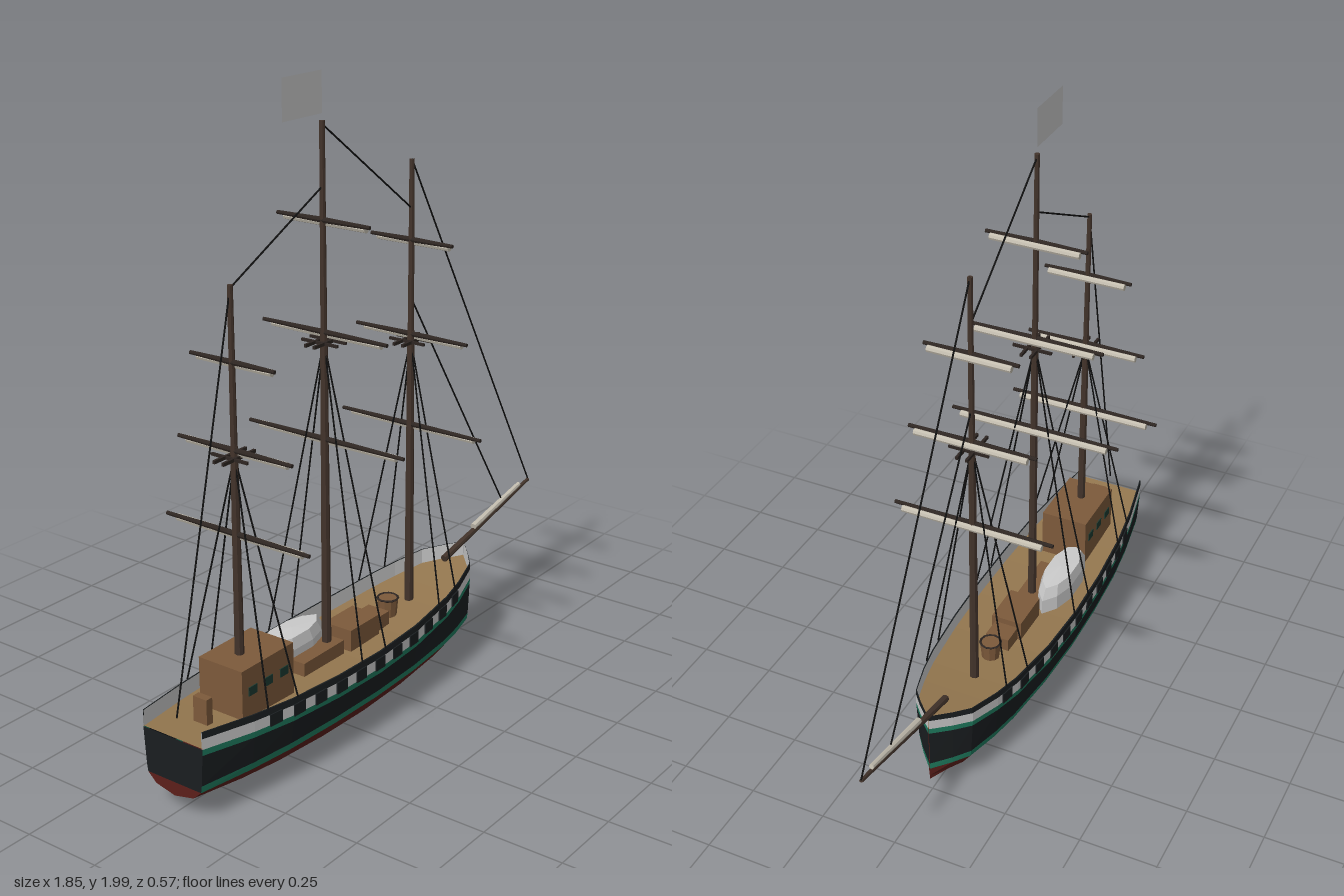
import * as THREE from 'three';

const mat = (color) => new THREE.MeshStandardMaterial({ color, flatShading: true, side: THREE.DoubleSide });
const M = {
  dark: mat(0x1a1e20), green: mat(0x1f7d60), red: mat(0x5c1f1a), white: mat(0xcccccc), deck: mat(0x94774f),
  wood: mat(0x7d5a3b), spar: mat(0x43342b), yard: mat(0x2e2622), rope: mat(0x101010), sail: mat(0xc4beb0),
  glass: mat(0x1d3a30),
};
const V = (x, y, z) => new THREE.Vector3(x, y, z);

// Hull lines: half width along the length, sheer of the rail, keel curve
const STATIONS = [[-0.93, 0.11], [-0.75, 0.145], [-0.6, 0.165], [-0.4, 0.178], [-0.2, 0.182], [0, 0.174],
  [0.2, 0.152], [0.3, 0.131], [0.41, 0.098], [0.46, 0.056], [0.515, 0.001]];
const sheer = (x) => {
  const t = x + 0.2;
  return 0.267 + (t < 0 ? 0.033 * (t / 0.73) ** 2 : 0.06 * (t / 0.715) ** 2);
};
const keel = (x) => 0.01 + 0.055 * Math.pow(Math.abs((x + 0.207) / 0.723), 2);
function halfWidth(x) {
  for (let i = 0; i < STATIONS.length - 1; i++) {
    const [x0, w0] = STATIONS[i], [x1, w1] = STATIONS[i + 1];
    if (x <= x1) return w0 + (w1 - w0) * (x - x0) / (x1 - x0);
  }
  return 0;
}

// Levels from keel to rail: [height at x, width factor]
const LEVELS = [
  [keel, 0],
  [(x) => keel(x) + (0.108 - keel(x)) * 0.36, 0.63],
  [() => 0.108, 0.9],
  [() => 0.13, 0.93],
  [(x) => sheer(x) - 0.072, 0.99],
  [(x) => sheer(x) - 0.053, 1],
  [(x) => sheer(x) - 0.02, 1],
  [sheer, 0.99],
];

function quads(list) {
  const p = [];
  for (const [a, b, c, d] of list) for (const v of [a, b, c, a, c, d]) p.push(v.x, v.y, v.z);
  const g = new THREE.BufferGeometry();
  g.setAttribute('position', new THREE.Float32BufferAttribute(p, 3));
  g.computeVertexNormals();
  return g;
}

// Both sides of a hull strip between two levels
function strip(lo, hi) {
  const out = [];
  for (let i = 0; i < STATIONS.length - 1; i++) {
    const at = (k, l, s) => V(STATIONS[k][0], l[0](STATIONS[k][0]), s * STATIONS[k][1] * l[1]);
    for (const s of [1, -1]) {
      const q = [at(i, lo, s), at(i + 1, lo, s), at(i + 1, hi, s), at(i, hi, s)];
      out.push(s > 0 ? q : q.reverse());
    }
  }
  return quads(out);
}

export function createModel() {
  const root = new THREE.Group();
  const add = (name, geo, material, parent = root) => {
    const m = new THREE.Mesh(geo, material);
    m.name = name;
    parent.add(m);
    return m;
  };
  const group = (name) => {
    const g = new THREE.Group();
    g.name = name;
    root.add(g);
    return g;
  };
  const box = (name, x0, x1, y0, y1, z0, z1, material, parent) => {
    const m = add(name, new THREE.BoxGeometry(x1 - x0, y1 - y0, z1 - z0), material, parent);
    m.position.set((x0 + x1) / 2, (y0 + y1) / 2, (z0 + z1) / 2);
    return m;
  };
  // Round bar from a to b
  const rod = (name, a, b, r0, r1, material, parent, sides = 8) => {
    const d = b.clone().sub(a);
    const m = add(name, new THREE.CylinderGeometry(r1, r0, d.length(), sides), material, parent);
    m.position.copy(a).add(b).multiplyScalar(0.5);
    m.quaternion.setFromUnitVectors(V(0, 1, 0), d.normalize());
    return m;
  };

  // Hull bands
  const hull = group('hull');
  const BANDS = [['bottom', 'red'], ['bilge', 'red'], ['waterlineStripe', 'green'], ['topside', 'dark'],
    ['upperStripe', 'green'], ['gunBand', 'white'], ['rail', 'dark']];
  BANDS.forEach(([name, c], j) => add(name, strip(LEVELS[j], LEVELS[j + 1]), M[c], hull));
  add('bulwarkLining', strip([(x) => sheer(x) - 0.053, 0.965], [(x) => sheer(x) - 0.001, 0.965]), M.white, hull);
  add('railCap', strip([sheer, 0.99], [sheer, 0.96]), M.dark, hull);

  // Flat stern, closed up to the deck
  for (let j = 0; j < 5; j++) {
    const [x, w] = STATIONS[0];
    const at = (l, s) => V(x, l[0](x), s * w * l[1]);
    const a = LEVELS[j], b = LEVELS[j + 1];
    add('transom', quads([[at(a, -1), at(a, 1), at(b, 1), at(b, -1)]]), j < 2 ? M.red : M.dark, hull);
  }

  // Deck
  const deckY = (x) => sheer(x) - 0.05;
  const planks = [];
  for (let i = 0; i < STATIONS.length - 1; i++) {
    const [x0, w0] = STATIONS[i], [x1, w1] = STATIONS[i + 1];
    planks.push([V(x0, deckY(x0), w0), V(x1, deckY(x1), w1), V(x1, deckY(x1), -w1), V(x0, deckY(x0), -w0)]);
  }
  add('deck', quads(planks), M.deck, hull);

  // Gun ports following the side
  const ports = group('gunPorts');
  for (let i = 0; i < 11; i++) for (const s of [1, -1]) {
    const x = -0.67 + i * 0.0925, a = x - 0.023, b = x + 0.023;
    const m = add('gunPort', new THREE.BoxGeometry(0.047, 0.037, 0.008), M.dark, ports);
    m.position.set(x, sheer(x) - 0.036, s * halfWidth(x));
    m.rotation.y = -s * Math.atan2(halfWidth(b) - halfWidth(a), b - a);
  }

  // Deck houses, hatches and fittings
  const fittings = group('deckFittings');
  box('aftHouse', -0.725, -0.495, 0.22, 0.387, -0.08, 0.08, M.wood, fittings);
  for (const x of [-0.68, -0.61, -0.54]) for (const s of [1, -1])
    box('houseWindow', x - 0.018, x + 0.018, 0.3, 0.327, s * 0.081 - 0.002, s * 0.081 + 0.002, M.glass, fittings);
  box('helmStand', -0.815, -0.79, 0.23, 0.32, -0.025, 0.025, M.wood, fittings);
  box('mainHatch', -0.395, -0.2, 0.21, 0.262, -0.04, 0.04, M.wood, fittings);
  box('cabinHouse', -0.18, -0.035, 0.21, 0.288, -0.052, 0.052, M.wood, fittings);
  box('foreHatch', -0.035, 0.035, 0.21, 0.268, -0.04, 0.04, M.wood, fittings);
  rod('capstan', V(0.083, 0.22, 0), V(0.083, 0.286, 0), 0.028, 0.034, M.wood, fittings, 10);
  const ring = add('capstanRim', new THREE.TorusGeometry(0.033, 0.004, 4, 12), M.yard, fittings);
  ring.position.set(0.083, 0.286, 0);
  ring.rotation.x = Math.PI / 2;

  // Ship's boat, stowed upside down
  const outline = [[-0.155, 0], [-0.14, 0.03], [-0.06, 0.055], [0.04, 0.055], [0.11, 0.035], [0.155, 0],
    [0.11, -0.035], [0.04, -0.055], [-0.06, -0.055], [-0.14, -0.03]];
  const rings = [[0.235, 1], [0.285, 0.97], [0.32, 0.8], [0.325, 0.001]];
  const boat = [];
  for (let j = 0; j < rings.length - 1; j++) outline.forEach((p, i) => {
    const q = outline[(i + 1) % outline.length];
    const at = ([x, z], [y, k]) => V(-0.325 + x * k, y, -0.065 + z * k);
    boat.push([at(p, rings[j]), at(q, rings[j]), at(q, rings[j + 1]), at(p, rings[j + 1])]);
  });
  add('shipsBoat', quads(boat), M.white, fittings);

  // Masts: x, top, crosstree height, yards as [height, half length]
  const MASTS = [
    ['mizzen', -0.64, 1.48, 0.99, [[0.755, 0.26], [1.005, 0.205], [1.26, 0.15]]],
    ['main', -0.235, 1.86, 1.22, [[0.917, 0.285], [1.245, 0.225], [1.575, 0.165]]],
    ['fore', 0.2, 1.68, 1.115, [[0.837, 0.263], [1.132, 0.207], [1.43, 0.15]]],
  ];
  for (const [name, x, top, tree, yards] of MASTS) {
    const g = group(name + 'Mast');
    rod('lowerMast', V(x, 0.2, 0), V(x, tree + 0.03, 0), 0.015, 0.011, M.spar, g);
    rod('topMast', V(x, tree, 0), V(x, top, 0), 0.01, 0.008, M.spar, g);
    // Crosstrees
    for (const s of [1, -1]) {
      box('crosstree', x - 0.068, x + 0.068, tree - 0.005, tree + 0.005, s * 0.016 - 0.004, s * 0.016 + 0.004, M.yard, g);
      box('spreader', x + s * 0.02 - 0.004, x + s * 0.02 + 0.004, tree - 0.004, tree + 0.004, -0.065, 0.065, M.yard, g);
    }
    // Yards with furled sails slung in front
    for (const [y, h] of yards) {
      for (const s of [1, -1]) rod('yard', V(x, y + 0.003, 0), V(x, y + 0.003, s * h), 0.009, 0.006, M.yard, g);
      rod('furledSail', V(x + 0.011, y - 0.006, -h * 0.88), V(x + 0.011, y - 0.006, h * 0.88), 0.011, 0.011, M.sail, g);
    }
    // Shrouds down to the rail
    for (const dx of [-0.058, 0.058]) for (const s of [1, -1])
      rod('shroud', V(x, tree, 0), V(x + dx, sheer(x + dx), s * halfWidth(x + dx)), 0.0028, 0.0028, M.rope, g, 5);
  }

  // Bowsprit with its furled jib
  rod('bowsprit', V(0.4, 0.305, 0), V(0.92, 0.422, 0), 0.012, 0.006, M.spar, root);
  rod('furledJib', V(0.575, 0.36, 0), V(0.86, 0.423, 0), 0.011, 0.008, M.sail, root);

  // Fore-and-aft stays
  const stays = group('stays');
  for (const [x0, y0, x1, y1] of [[-0.64, 1.47, -0.91, 0.3], [-0.64, 1.47, -0.235, 1.675], [-0.235, 1.85, 0.2, 1.53],
    [0.2, 1.68, 0.92, 0.425], [0.2, 1.25, 0.745, 0.41]])
    rod('stay', V(x0, y0, 0), V(x1, y1, 0), 0.0028, 0.0028, M.rope, stays, 5);

  // Flag
  add('flag', new THREE.PlaneGeometry(0.175, 0.12), M.white).position.set(-0.322, 1.94, 0);
  return root;
}
